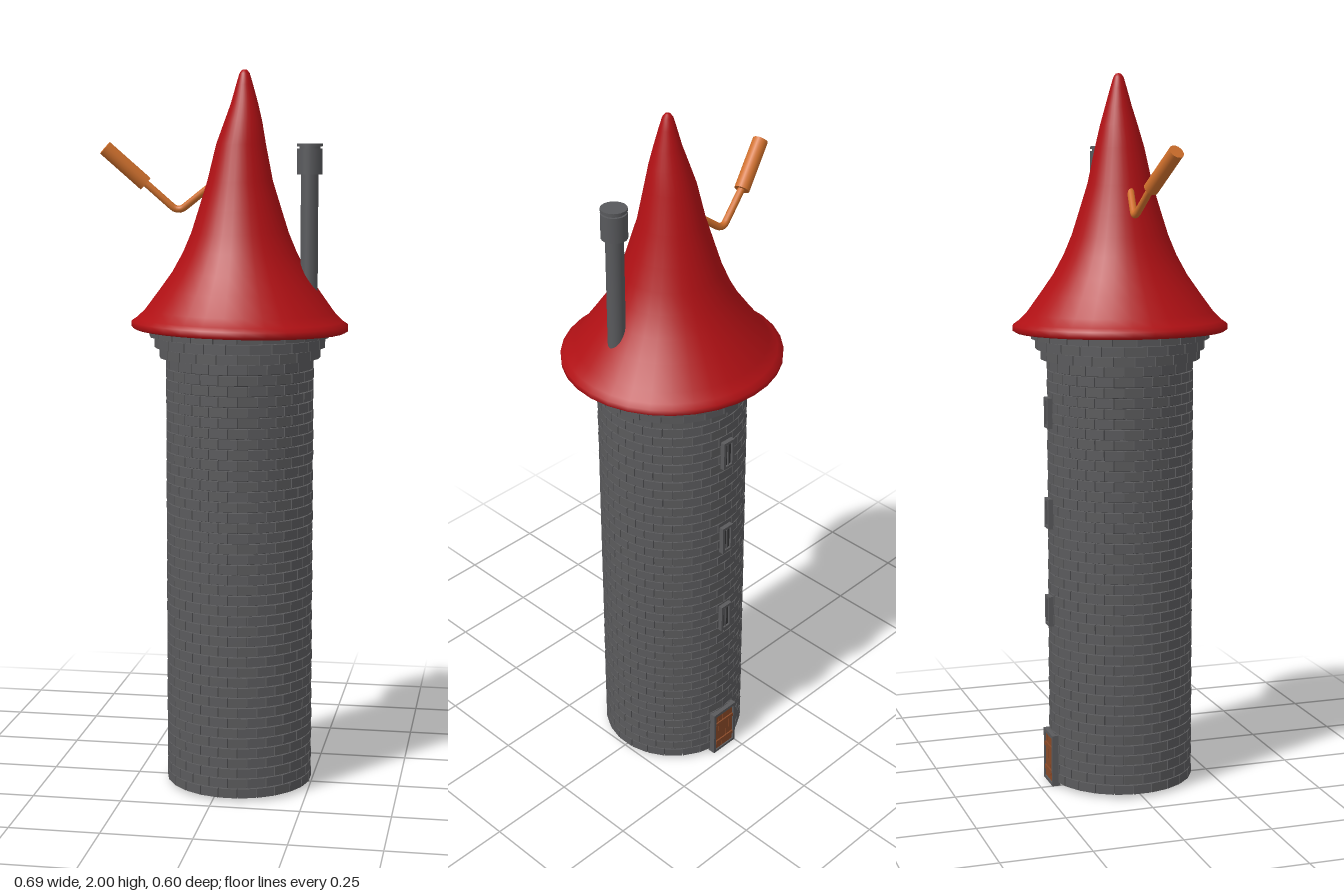
import * as THREE from 'three';
import { mergeGeometries } from 'three/addons/utils/BufferGeometryUtils.js';

const CX = 0.043; // tower axis
const mat = (color, extra = {}) => Object.assign(new THREE.MeshStandardMaterial({ color }), extra);
const stone = mat(0x5a5a5c);
const mortar = mat(0x38383a, { side: THREE.DoubleSide });
const metal = mat(0x58595c);
const red = mat(0xb01014, { side: THREE.DoubleSide });
const wood = mat(0x8a4a28);
const copper = mat(0xd0702c);

function add(parent, name, geometry, material, x = 0, y = 0, z = 0) {
  const mesh = new THREE.Mesh(geometry, material);
  mesh.name = name;
  mesh.position.set(x, y, z);
  parent.add(mesh);
  return mesh;
}

// One ring of separate bricks, as a list of boxes
function brickRing(y0, y1, radius, depth, count, turn) {
  const gap = 0.003;
  const width = 2 * radius * Math.tan(Math.PI / count) - gap;
  return Array.from({ length: count }, (_, i) =>
    new THREE.BoxGeometry(width, y1 - y0 - gap, depth)
      .translate(0, (y0 + y1) / 2, radius - depth / 2)
      .rotateY(((i + turn) / count) * Math.PI * 2));
}

// Cylinder between two points
function rod(parent, name, a, b, radius, material) {
  const dir = b.clone().sub(a);
  const mesh = add(parent, name, new THREE.CylinderGeometry(radius, radius, dir.length(), 16), material);
  mesh.position.copy(a).add(b).multiplyScalar(0.5);
  mesh.quaternion.setFromUnitVectors(new THREE.Vector3(0, 1, 0), dir.normalize());
}

function buildTower() {
  const tower = new THREE.Group();
  tower.name = 'tower';
  const rows = 42, base = 0.008, top = 1.215, h = (top - base) / rows;
  const bricks = [];
  for (let r = 0; r < rows; r++) {
    bricks.push(...brickRing(base + r * h, base + (r + 1) * h, 0.204, 0.022, 24, (r % 2) / 2));
  }
  add(tower, 'wallBricks', mergeGeometries(bricks), stone);
  add(tower, 'wallMortar', new THREE.CylinderGeometry(0.194, 0.194, 1.28, 48, 1, true), mortar, 0, 0.65, 0);

  // Stepped courses under the roof
  const corbel = [];
  [0.222, 0.236, 0.249].forEach((radius, i) => {
    corbel.push(...brickRing(top + i * 0.029, top + (i + 1) * 0.029, radius, 0.045, 24, (i % 2) / 2));
  });
  add(tower, 'corbelBricks', mergeGeometries(corbel), stone);
  return tower;
}

function buildRoof() {
  // Flared shell with a rolled brim, from the inside of the brim to the tip
  const profile = [
    [0.205, 1.335], [0.24, 1.31], [0.27, 1.3], [0.292, 1.292], [0.3, 1.297], [0.3, 1.312],
    [0.285, 1.322], [0.262, 1.345], [0.222, 1.4], [0.187, 1.45], [0.157, 1.505], [0.134, 1.56],
    [0.115, 1.62], [0.09, 1.7], [0.068, 1.8], [0.052, 1.86], [0.037, 1.91], [0.023, 1.96],
    [0.014, 1.99], [0.007, 1.999], [0, 2],
  ].map(([x, y]) => new THREE.Vector2(x, y));
  const geometry = new THREE.LatheGeometry(profile, 32);
  const p = geometry.attributes.position;
  // Lean the tip and tilt the brim slightly
  for (let i = 0; i < p.count; i++) {
    const x = p.getX(i), y = p.getY(i);
    p.setX(i, x + 0.012 * THREE.MathUtils.smoothstep(y, 1.75, 1.92));
    p.setY(i, y - 0.02 * x * (1 - THREE.MathUtils.smoothstep(y, 1.3, 1.6)));
  }
  return geometry;
}

// Narrow framed slit window on the back wall
function buildWindow(y) {
  const win = new THREE.Group();
  win.name = 'window';
  win.position.set(0, y, -0.207);
  add(win, 'pane', new THREE.BoxGeometry(0.028, 0.07, 0.008), mortar);
  for (const s of [-1, 1]) {
    add(win, 'jamb', new THREE.BoxGeometry(0.008, 0.085, 0.02), stone, s * 0.016);
    add(win, 'lintelOrSill', new THREE.BoxGeometry(0.04, 0.008, 0.02), stone, 0, s * 0.0385);
  }
  add(win, 'bar', new THREE.BoxGeometry(0.004, 0.075, 0.014), stone);
  return win;
}

function buildDoor() {
  const door = new THREE.Group();
  door.name = 'door';
  door.position.z = -0.205;
  for (let i = -2; i <= 2; i++) {
    add(door, 'plank', new THREE.BoxGeometry(0.0138, 0.135, 0.016), wood, i * 0.0146, 0.069, 0);
  }
  for (const y of [0.035, 0.105]) {
    add(door, 'crossPlank', new THREE.BoxGeometry(0.07, 0.012, 0.006), wood, 0, y, -0.009);
  }
  for (const s of [-1, 1]) {
    add(door, 'doorPost', new THREE.BoxGeometry(0.008, 0.145, 0.024), stone, s * 0.041, 0.0725, 0);
  }
  add(door, 'doorLintel', new THREE.BoxGeometry(0.09, 0.01, 0.024), stone, 0, 0.143, 0);
  add(door, 'threshold', new THREE.BoxGeometry(0.09, 0.008, 0.024), stone, 0, 0.004, 0);
  return door;
}

function buildChimney() {
  const chimney = new THREE.Group();
  chimney.name = 'chimney';
  chimney.position.set(0.236, 0, 0.01);
  add(chimney, 'pipe', new THREE.CylinderGeometry(0.024, 0.024, 0.36, 24), metal, 0, 1.56, 0);
  add(chimney, 'collar', new THREE.CylinderGeometry(0.035, 0.035, 0.07, 24), metal, 0, 1.753, 0);
  add(chimney, 'neck', new THREE.CylinderGeometry(0.029, 0.029, 0.01, 24), metal, 0, 1.79, 0);
  add(chimney, 'lid', new THREE.CylinderGeometry(0.035, 0.035, 0.008, 24), metal, 0, 1.797, 0);
  return chimney;
}

// Bent arm carrying a spyglass out of the roof
function buildSpyglass() {
  const spyglass = new THREE.Group();
  spyglass.name = 'spyglass';
  const v = (x, y, z) => new THREE.Vector3(x, y, z);
  const path = new THREE.CurvePath();
  path.add(new THREE.LineCurve3(v(-0.04, 1.685, 0.003), v(-0.112, 1.63, -0.012)));
  path.add(new THREE.QuadraticBezierCurve3(v(-0.112, 1.63, -0.012), v(-0.13, 1.615, -0.016), v(-0.147, 1.627, -0.013)));
  path.add(new THREE.LineCurve3(v(-0.147, 1.627, -0.013), v(-0.225, 1.697, 0.001)));
  add(spyglass, 'arm', new THREE.TubeGeometry(path, 30, 0.01, 12), copper);
  rod(spyglass, 'barrel', v(-0.222, 1.692, 0), v(-0.328, 1.79, 0.033), 0.021, copper);
  return spyglass;
}

export function createModel() {
  const model = new THREE.Group();
  model.name = 'roundTower';
  const body = new THREE.Group();
  body.name = 'towerBody';
  body.position.x = CX;
  body.add(buildTower(), buildDoor(), ...[0.505, 0.785, 1.07].map(buildWindow));
  add(body, 'roof', buildRoof(), red);
  model.add(body, buildChimney(), buildSpyglass());
  return model;
}
